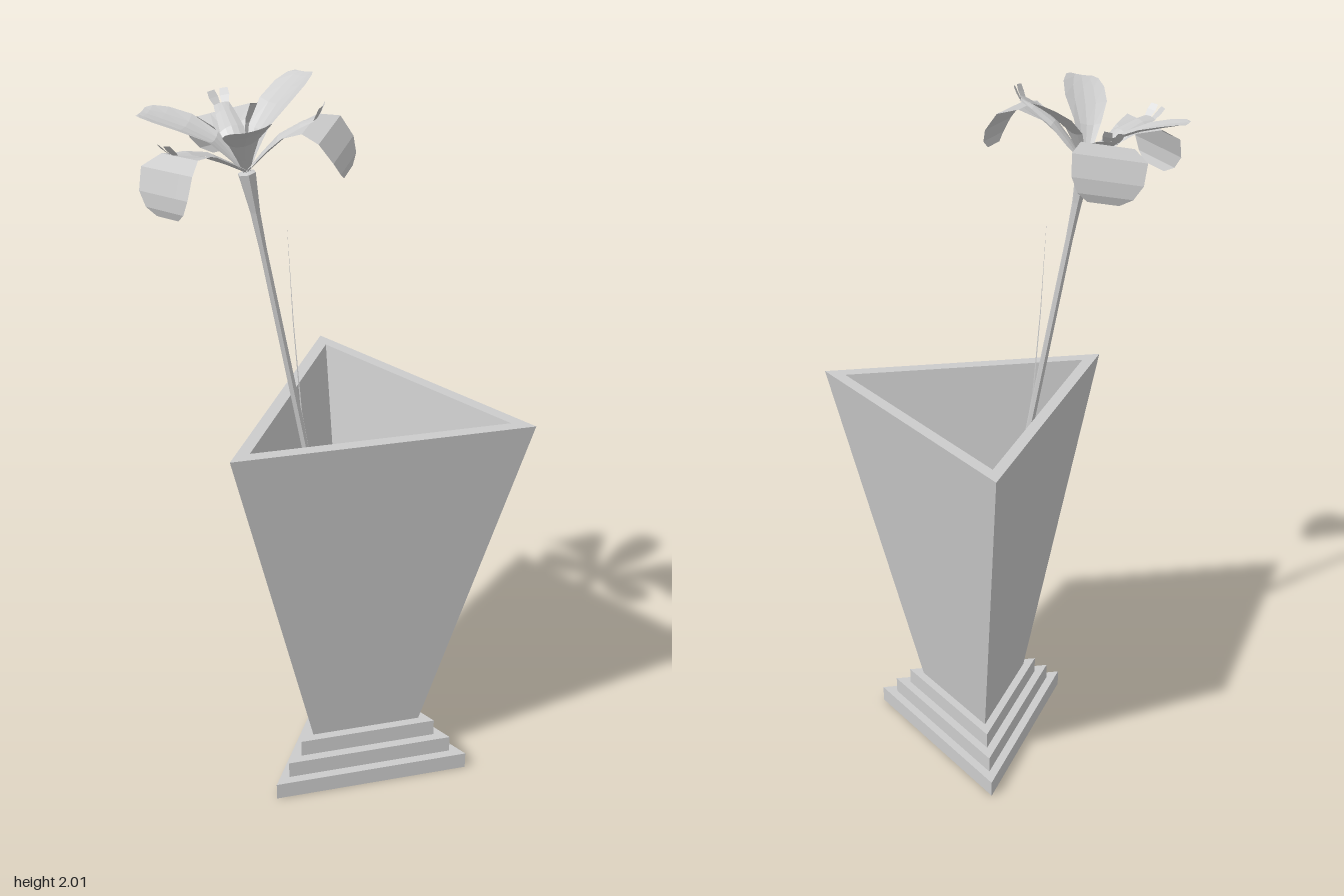
import * as THREE from 'three';

const solid = new THREE.MeshStandardMaterial({ color: 0xcccccc, flatShading: true });
const thin = new THREE.MeshStandardMaterial({ color: 0xcccccc, flatShading: true, side: THREE.DoubleSide });

function add(parent, name, geometry, material = solid) {
  const mesh = new THREE.Mesh(geometry, material);
  mesh.name = name;
  parent.add(mesh);
  return mesh;
}

// Thin sheet running along +z. Each row is [distance, height, half width, edge lift].
function sheet(rows) {
  const across = [-1, -0.5, 0, 0.5, 1];
  const n = across.length;
  const positions = [];
  const index = [];
  for (const [d, h, w, lift = 0] of rows) {
    for (const s of across) positions.push(s * w, h + lift * s * s, d);
  }
  for (let i = 0; i < rows.length - 1; i++) {
    for (let j = 0; j < n - 1; j++) {
      const a = i * n + j;
      index.push(a, a + n, a + 1, a + 1, a + n, a + n + 1);
    }
  }
  const geometry = new THREE.BufferGeometry();
  geometry.setAttribute('position', new THREE.Float32BufferAttribute(positions, 3));
  geometry.setIndex(index);
  geometry.computeVertexNormals();
  return geometry;
}

// Revolve [radius, height] points with a given number of sides.
function revolve(points, sides) {
  return new THREE.LatheGeometry(points.map(([r, y]) => new THREE.Vector2(r, y)), sides, Math.PI);
}

export function createModel() {
  const model = new THREE.Group();
  model.name = 'flowerInVase';

  // Three-sided vase on a stepped plinth
  const vase = new THREE.Group();
  vase.name = 'vase';
  vase.position.set(0.078, 0, 0.115);
  model.add(vase);
  [0.327, 0.278, 0.229].forEach((r, i) => {
    const step = add(vase, 'plinthStep', new THREE.CylinderGeometry(r, r, 0.05, 3, 1, false, Math.PI));
    step.position.y = 0.025 + i * 0.05;
  });
  add(vase, 'vaseBody', revolve([
    [0, 0.15], [0.182, 0.15], [0.46, 1.15], [0.395, 1.15], [0.127, 0.19], [0, 0.19],
  ], 3));

  // Leaf blade rising beside the stem
  const leaf = add(model, 'leafBlade', sheet([
    [0.08, 0.19, 0.009], [-0.015, 0.7, 0.01], [-0.086, 1.15, 0.009],
    [-0.105, 1.4, 0.006], [-0.118, 1.65, 0.0005],
  ]), thin);
  leaf.rotation.y = Math.PI / 2;
  leaf.position.z = 0.11;

  // Leaning flower, with its origin where the petals meet
  const flower = new THREE.Group();
  flower.name = 'flower';
  flower.position.set(-0.215, 1.8, 0.11);
  flower.rotation.z = Math.atan2(0.295, 1.61);
  model.add(flower);

  add(flower, 'stem', revolve([
    [0, -1.637], [0.011, -1.637], [0.01, -0.2], [0.013, -0.1], [0.023, 0], [0, 0.005],
  ], 6));

  const upright = sheet([
    [0, 0, 0.008], [0.03, 0.04, 0.02, 0.006], [0.065, 0.085, 0.036, 0.01], [0.13, 0.125, 0.056, 0.012],
    [0.185, 0.15, 0.055, 0.01], [0.22, 0.165, 0.044, 0.006], [0.235, 0.17, 0.03, 0.002],
  ]);
  const drooping = sheet([
    [0, 0, 0.008], [0.06, 0.045, 0.018, 0.006], [0.12, 0.085, 0.04, 0.006], [0.18, 0.108, 0.068],
    [0.225, 0.09, 0.095], [0.25, 0.04, 0.09], [0.256, 0.005, 0.07], [0.252, -0.015, 0.04],
  ]);
  const arm = sheet([
    [0, 0.005, 0.01], [0.05, 0.05, 0.026, -0.008], [0.1, 0.09, 0.03, -0.01],
    [0.16, 0.115, 0.024, -0.008], [0.198, 0.122, 0.02, -0.003],
  ]);
  const crest = sheet([
    [0, 0, 0.009], [0.012, 0.015, 0.012], [0.022, 0.03, 0.01],
  ]);

  for (let i = 0; i < 3; i++) {
    const angle = (i * Math.PI * 2) / 3;
    add(flower, 'uprightPetal', upright, thin).rotation.y = angle;
    // Drooping petal with a fork-tipped arm above it
    const pair = new THREE.Group();
    pair.name = 'droopingPetalAndArm';
    pair.rotation.y = angle + Math.PI;
    flower.add(pair);
    add(pair, 'droopingPetal', drooping, thin);
    add(pair, 'styleArm', arm, thin);
    for (const side of [-1, 1]) {
      const tip = add(pair, 'styleCrest', crest, thin);
      tip.position.set(side * 0.011, 0.12, 0.198);
      tip.rotation.y = side * 0.25;
    }
  }
  return model;
}
